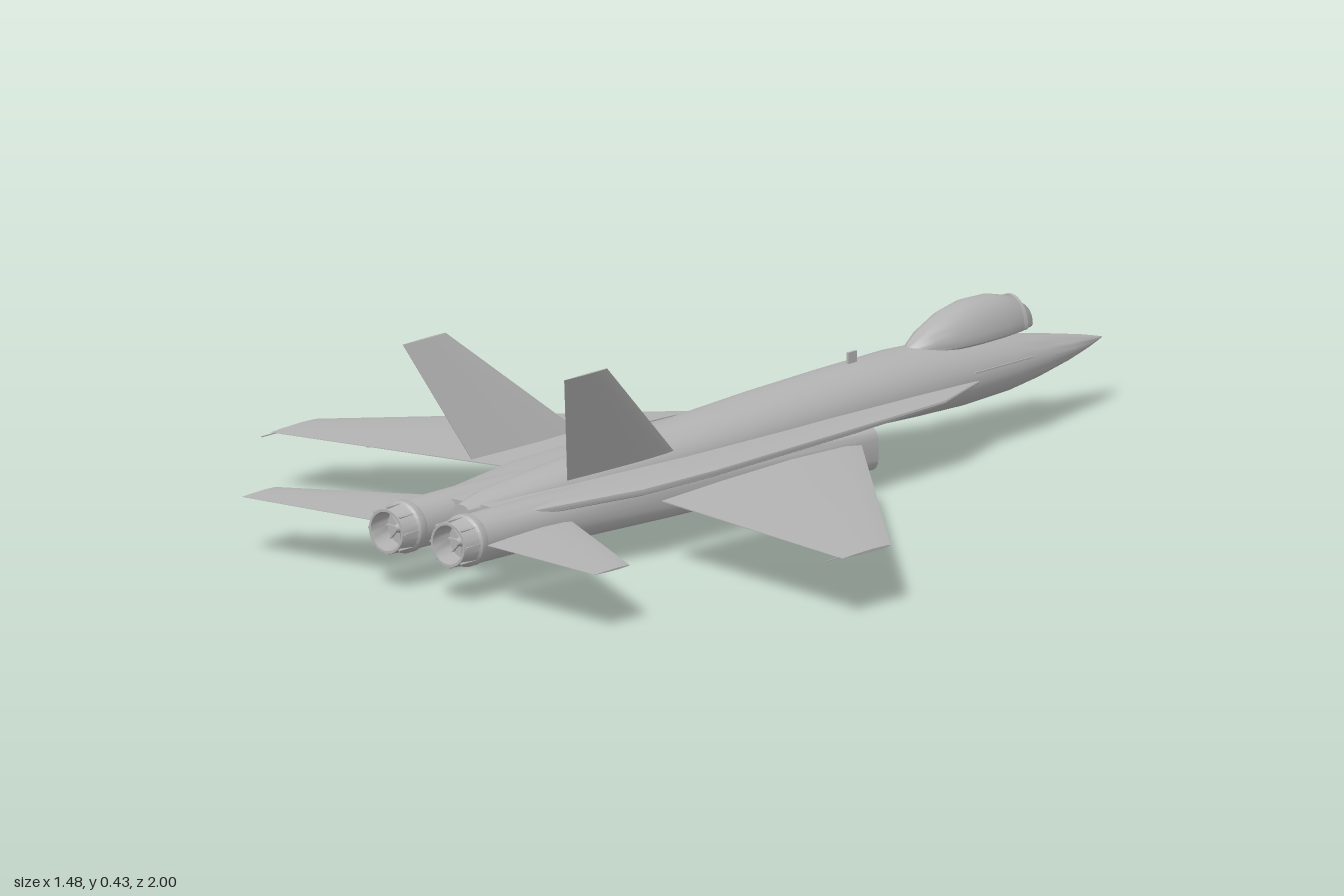
import * as THREE from 'three';
import { toCreasedNormals } from 'three/addons/utils/BufferGeometryUtils.js';

const grey = new THREE.MeshStandardMaterial({ color: 0xb2b2b2, side: THREE.DoubleSide });
grey.name = 'airframe grey';

// Skin a list of closed rings (arrays of [x, y, z]) and cap both ends.
function loft(rings, crease = 0.6) {
  const n = rings[0].length, pos = rings.flat(2), tri = [];
  for (let i = 0; i < rings.length - 1; i++) {
    for (let j = 0; j < n; j++) {
      const k = (j + 1) % n, a = i * n + j, b = i * n + k, c = b + n, d = a + n;
      tri.push([a, b, c], [a, c, d]);
    }
  }
  const last = (rings.length - 1) * n;
  for (let j = 1; j < n - 1; j++) tri.push([0, j + 1, j], [last, last + j, last + j + 1]);
  // turn faces outward whichever way the rings run
  const p = (i) => new THREE.Vector3().fromArray(pos, i * 3);
  const volume = tri.reduce((s, [a, b, c]) => s + p(a).dot(p(b).cross(p(c))), 0);
  if (volume < 0) tri.forEach((t) => t.reverse());
  const g = new THREE.BufferGeometry();
  g.setAttribute('position', new THREE.Float32BufferAttribute(pos, 3));
  g.setIndex(tri.flat());
  return toCreasedNormals(g, crease);
}

// Rounded cross-section in the xy plane, n = 2 is an ellipse, higher is boxier.
function section(z, cx, w, top, mid, bottom, n = 2, count = 32) {
  return Array.from({ length: count }, (_, i) => {
    const a = (i / count) * Math.PI * 2, c = Math.cos(a), s = Math.sin(a);
    const y = Math.sign(s) * Math.abs(s) ** (2 / n);
    return [
      cx + w * Math.sign(c) * Math.abs(c) ** (2 / n),
      mid + y * (s > 0 ? top - mid : mid - bottom),
      z,
    ];
  });
}

// Thin tapered aerofoil; stations are [x, y, zLead, zTrail, halfThickness].
const foil = [[0, 0], [0.08, 0.6], [0.35, 1], [0.7, 0.65], [1, 0.1],
  [1, -0.1], [0.7, -0.65], [0.35, -1], [0.08, -0.6]];
function panel(stations, side, upright = false) {
  return loft(stations.map(([x, y, z0, z1, t]) => foil.map(([u, v]) => [
    side * (x + (upright ? v * t : 0)),
    y + (upright ? 0 : v * t),
    z0 + (z1 - z0) * u,
  ])));
}

export function createModel() {
  const model = new THREE.Group();
  model.name = 'jet aircraft';
  const add = (name, geometry, x = 0, y = 0, z = 0) => {
    const m = new THREE.Mesh(geometry, grey);
    m.name = name;
    m.position.set(x, y, z);
    model.add(m);
    return m;
  };

  // Fuselage: z, half width, top, middle, bottom
  add('fuselage', loft([
    [-1, 0.001, 0.135, 0.134, 0.133],
    [-0.95, 0.017, 0.148, 0.134, 0.122],
    [-0.88, 0.036, 0.163, 0.135, 0.109],
    [-0.78, 0.058, 0.183, 0.138, 0.095],
    [-0.68, 0.076, 0.2, 0.142, 0.086],
    [-0.55, 0.087, 0.215, 0.145, 0.083],
    [-0.4, 0.09, 0.224, 0.145, 0.088],
    [-0.2, 0.09, 0.222, 0.145, 0.098],
    [0, 0.09, 0.217, 0.145, 0.1],
    [0.3, 0.083, 0.204, 0.145, 0.105],
    [0.6, 0.06, 0.188, 0.145, 0.11],
    [0.8, 0.038, 0.172, 0.145, 0.118],
    [0.87, 0.02, 0.158, 0.143, 0.128],
  ].map(([z, w, t, m, b]) => section(z, 0, w, t, m, b))));

  // Flat shoulder running from the cockpit to the tail: z, half width, half thickness
  add('shoulder', loft([
    [-0.55, 0.086, 0.004],
    [-0.38, 0.145, 0.008],
    [-0.1, 0.16, 0.012],
    [0.32, 0.176, 0.013],
    [0.53, 0.17, 0.013],
    [0.77, 0.122, 0.012],
    [0.84, 0.11, 0.01],
  ].map(([z, w, h]) => section(z, 0, w, 0.146 + h, 0.146, 0.146 - h, 4))));

  // Canopy and its front frame
  add('canopy', loft([
    [-0.778, 0.012, 0.224],
    [-0.765, 0.03, 0.247],
    [-0.73, 0.043, 0.269],
    [-0.67, 0.052, 0.284],
    [-0.6, 0.054, 0.286],
    [-0.54, 0.049, 0.275],
    [-0.48, 0.036, 0.251],
    [-0.445, 0.021, 0.231],
    [-0.425, 0.005, 0.216],
  ].map(([z, w, t]) => section(z, 0, w, t, 0.211, 0.198))));
  add('canopyFrame', loft([-0.735, -0.727].map((z) => section(z, 0, 0.045, 0.272, 0.211, 0.2))));

  // Blade aerials above and below
  add('upperAerial', new THREE.BoxGeometry(0.005, 0.03, 0.025), 0, 0.23, -0.27);
  add('lowerAerial', loft([[0.12, -0.2, -0.15], [0.04, -0.195, -0.15], [0, -0.178, -0.162]]
    .map(([y, a, b]) => [[-0.002, y, a], [0.002, y, a], [0.002, y, b], [-0.002, y, b]])));

  for (const side of [1, -1]) {
    const s = side > 0 ? 'left' : 'right';

    // Engine nacelle with a recessed square intake, rounding off towards the nozzle
    add(s + 'Nacelle', loft([
      [-0.15, 0.045, 0.125, 0.048, 4],
      [-0.195, 0.049, 0.128, 0.044, 4],
      [-0.195, 0.054, 0.132, 0.04, 4],
      [0, 0.054, 0.14, 0.047, 3.6],
      [0.4, 0.053, 0.152, 0.056, 2.8],
      [0.75, 0.051, 0.164, 0.065, 2.1],
      [0.945, 0.049, 0.165, 0.067, 2],
    ].map(([z, w, t, b, n]) => section(z, side * 0.082, w, t, (t + b) / 2, b, n))));

    // Hollow nozzle, petals and turbine hub
    const nozzle = [[0.046, 0.93], [0.052, 0.94], [0.052, 0.955], [0.048, 0.96], [0.044, 1],
      [0.039, 1], [0.035, 0.955], [0, 0.955]];
    const lathe = new THREE.LatheGeometry(nozzle.map(([r, z]) => new THREE.Vector2(r, z)), 24);
    lathe.rotateX(Math.PI / 2);
    add(s + 'Nozzle', toCreasedNormals(lathe, 0.6), side * 0.08, 0.116, 0);
    const hub = new THREE.CylinderGeometry(0.006, 0.012, 0.02, 12).rotateX(Math.PI / 2);
    add(s + 'Hub', hub, side * 0.08, 0.116, 0.965);
    for (let i = 0; i < 8; i++) {
      const a = (i / 8) * Math.PI * 2;
      const petal = new THREE.BoxGeometry(0.004, 0.006, 0.042);
      petal.translate(0, 0.0455, 0.977).rotateZ(a);
      add(s + 'Petal', petal, side * 0.08, 0.116, 0);
      const spoke = new THREE.BoxGeometry(0.003, 0.034, 0.006);
      spoke.translate(0, 0.02, 0.958).rotateZ(a);
      add(s + 'Spoke', spoke, side * 0.08, 0.116, 0);
    }

    // Lifting surfaces and canted fins
    add(s + 'Wing', panel([[0.203, 0.131, -0.07, 0.513, 0.011], [0.74, 0.123, 0.45, 0.592, 0.003]], side));
    add(s + 'Tailplane', panel([[0.15, 0.12, 0.715, 0.963, 0.006], [0.457, 0.12, 0.893, 0.995, 0.002]], side));
    add(s + 'Fin', panel([[0.124, 0.195, 0.39, 0.7, 0.007], [0.209, 0.43, 0.68, 0.805, 0.003]], side, true));

    // Slim rails under the wing, wingtip wick and nose probe
    for (const [x, z] of [[0.32, 0.36], [0.43, 0.42], [0.54, 0.47]]) {
      add(s + 'WingRail', new THREE.BoxGeometry(0.004, 0.008, 0.13), side * x, 0.12, z);
    }
    add(s + 'Wick', new THREE.BoxGeometry(0.002, 0.002, 0.045), side * 0.73, 0.123, 0.607);
    add(s + 'Probe', new THREE.BoxGeometry(0.003, 0.003, 0.17), side * 0.085, 0.165, -0.62);
  }
  return model;
}
